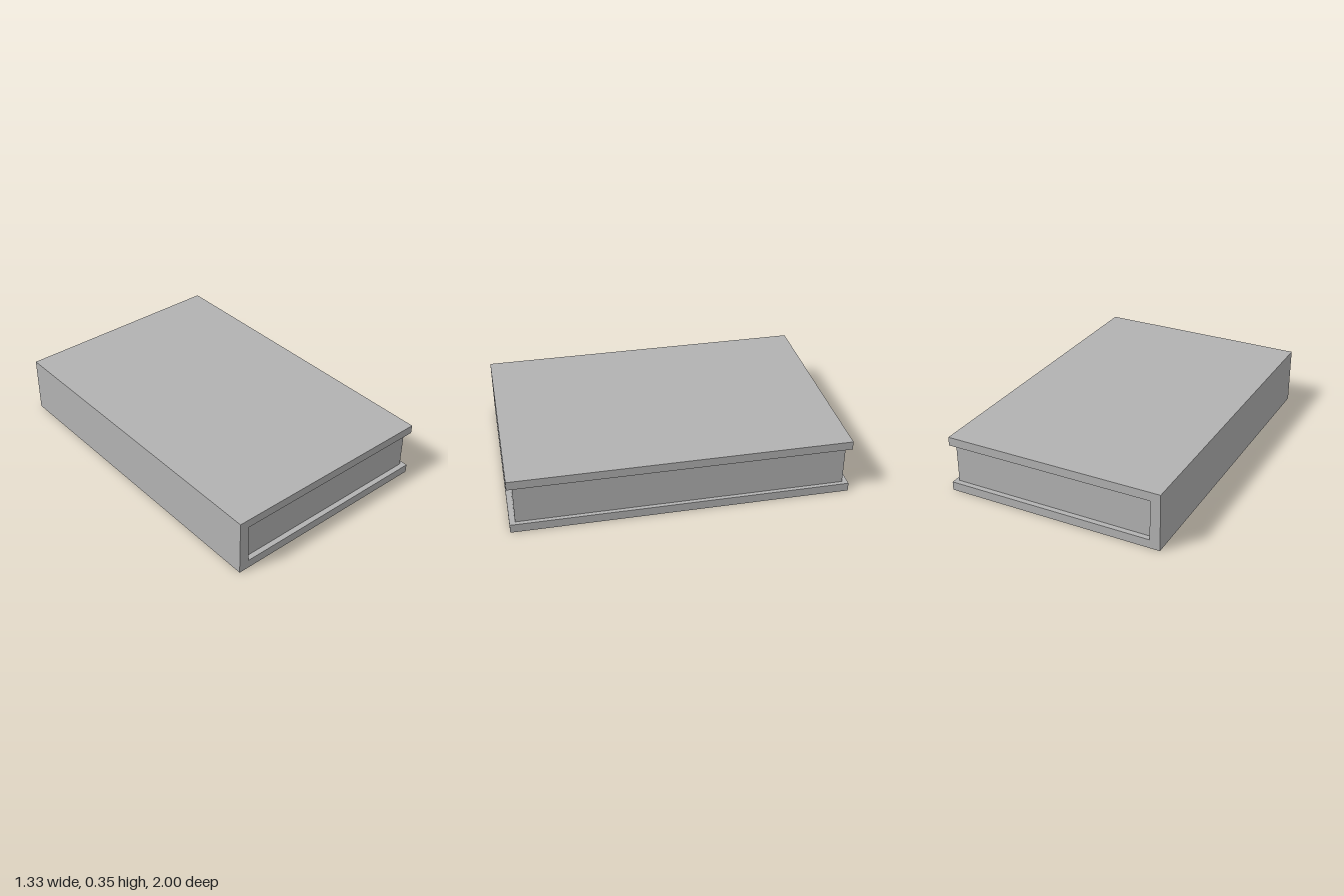
import * as THREE from 'three';

export function createModel() {
  const book = new THREE.Group();
  book.name = 'closedBook';
  const grey = new THREE.MeshStandardMaterial({ color: 0xb2b2b2 });
  grey.name = 'plain grey';

  const halfWidth = 0.667, height = 0.348, depth = 2;
  const board = 0.0525;       // thickness of the cover boards
  const spineInner = -0.606;  // inside face of the spine

  // Cover: a C-shaped profile of two boards and the spine, run front to back
  const profile = new THREE.Shape([
    [-halfWidth, 0], [halfWidth, 0], [halfWidth, board], [spineInner, board],
    [spineInner, height - board], [halfWidth, height - board],
    [halfWidth, height], [-halfWidth, height],
  ].map(([x, y]) => new THREE.Vector2(x, y)));
  const coverGeometry = new THREE.ExtrudeGeometry(profile, { depth, bevelEnabled: false });
  coverGeometry.translate(0, 0, -depth / 2);
  const cover = new THREE.Mesh(coverGeometry, grey);
  cover.name = 'cover';

  // Page block: fills the cover, set back on its three open sides
  const pageEdge = 0.642, pageDepth = 1.935;
  const pages = new THREE.Mesh(
    new THREE.BoxGeometry(pageEdge - spineInner, height - 2 * board, pageDepth), grey);
  pages.position.set((pageEdge + spineInner) / 2, height / 2, 0);
  pages.name = 'pageBlock';

  book.add(cover, pages);
  return book;
}
